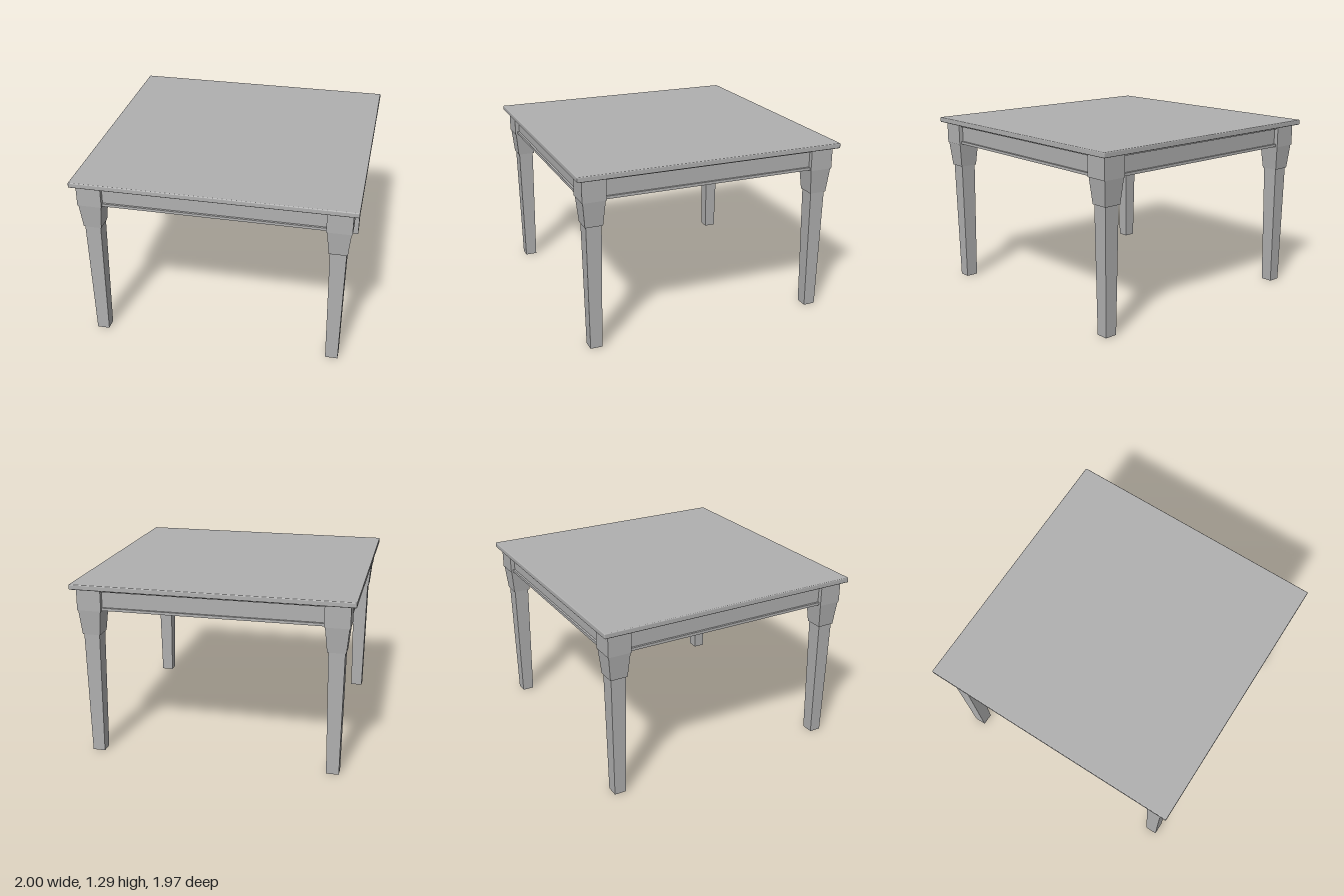
import * as THREE from 'three';
import { RoundedBoxGeometry } from 'three/addons/geometries/RoundedBoxGeometry.js';

const grey = new THREE.MeshStandardMaterial({ color: 0xb0b0b0 });
grey.name = 'grey';

function add(parent, name, geometry, x, y, z) {
  const mesh = new THREE.Mesh(geometry, grey);
  mesh.name = name;
  mesh.position.set(x, y, z);
  parent.add(mesh);
}

// Box between two heights whose section changes from bottom to top
function tapered(y0, y1, [bottomW, bottomD], [topW, topD]) {
  const g = new THREE.BoxGeometry(1, y1 - y0, 1);
  const p = g.attributes.position;
  for (let i = 0; i < p.count; i++) {
    const top = p.getY(i) > 0;
    p.setX(i, p.getX(i) * (top ? topW : bottomW));
    p.setZ(i, p.getZ(i) * (top ? topD : bottomD));
  }
  g.translate(0, (y0 + y1) / 2, 0);
  g.computeVertexNormals();
  return g;
}

export function createModel() {
  const table = new THREE.Group();
  table.name = 'table';

  // Top slab with slightly softened edges
  add(table, 'tableTop', new RoundedBoxGeometry(2, 0.038, 1.97, 2, 0.007), 0, 1.274, 0);

  // Closed apron: recessed panel between two slim rails
  const layers = [
    ['apronLowerRail', 1.1, 1.12, 0.015],
    ['apronPanel', 1.12, 1.235, 0.03],
    ['apronUpperRail', 1.235, 1.257, 0.015],
  ];
  for (const [name, y0, y1, inset] of layers) {
    const size = [2 * (0.96 - inset), 2 * (0.944 - inset)];
    add(table, name, tapered(y0, y1, size, size), 0, 0, 0);
  }

  // Legs: corner block, flared collar and tapered post
  for (const sx of [-1, 1]) {
    for (const sz of [-1, 1]) {
      const leg = new THREE.Group();
      leg.name = `${sz > 0 ? 'front' : 'back'}${sx > 0 ? 'Left' : 'Right'}Leg`;
      leg.position.set(sx * 0.873, 0, sz * 0.86);
      add(leg, 'cornerBlock', tapered(1.097, 1.257, [0.176, 0.17], [0.176, 0.17]), 0, 0, 0);
      add(leg, 'collar', tapered(0.915, 1.097, [0.13, 0.126], [0.165, 0.16]), 0, 0, 0);
      add(leg, 'post', tapered(0, 0.915, [0.09, 0.087], [0.115, 0.111]), 0, 0, 0);
      table.add(leg);
    }
  }
  return table;
}
